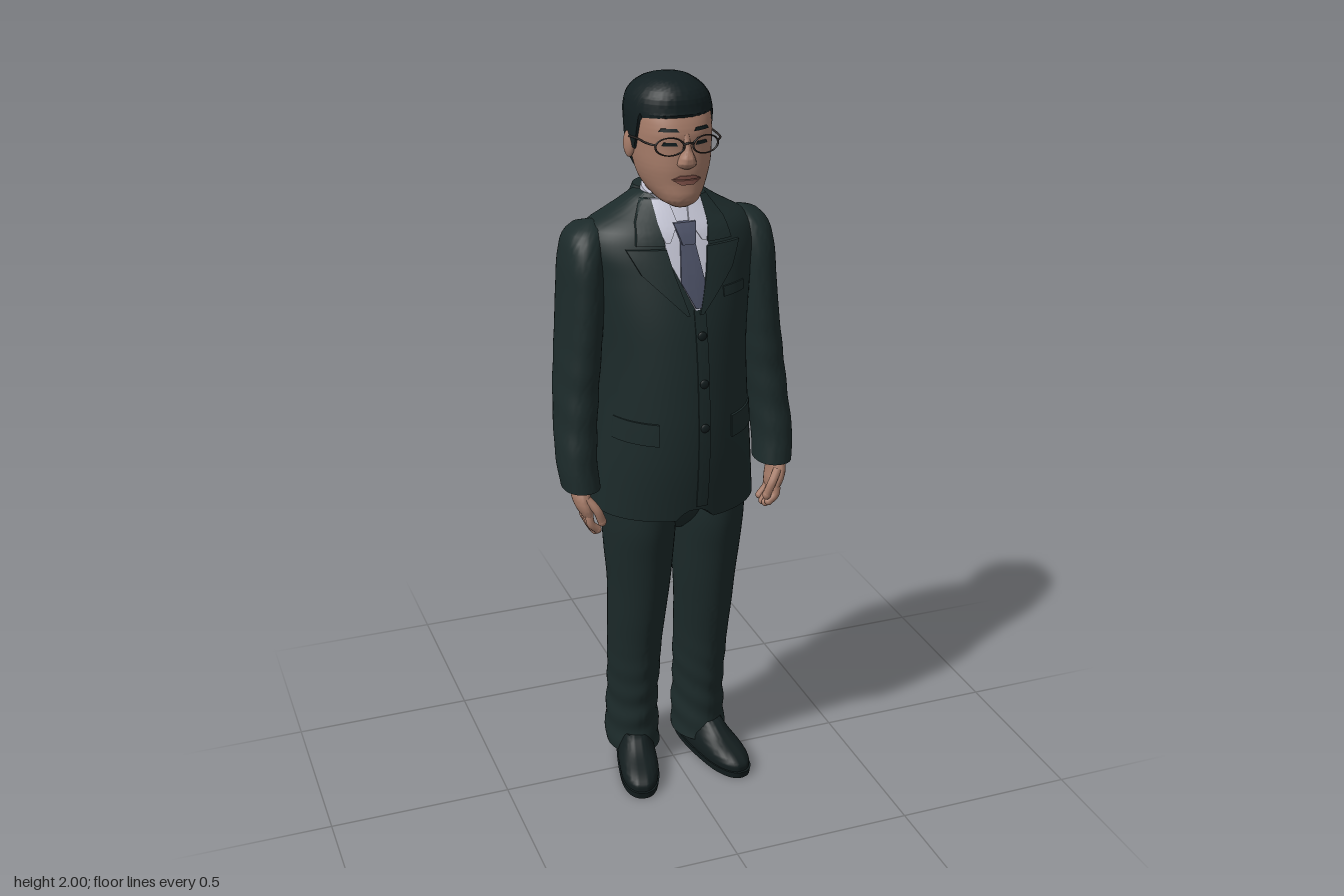
import * as THREE from 'three';
import { toCreasedNormals } from 'three/addons/utils/BufferGeometryUtils.js';

const mat = (name, color, side = THREE.FrontSide) => {
  const m = new THREE.MeshStandardMaterial({ color, side });
  m.name = name;
  return m;
};
const D = THREE.DoubleSide;
const suit = mat('suit cloth', 0x1c2a2a, D), hairMat = mat('hair', 0x131e20, D), skin = mat('skin', 0xa67c69);
const shirtMat = mat('shirt', 0xc2c3d2, D), tieMat = mat('tie', 0x4c5166, D), leather = mat('shoe leather', 0x131d1e);
const lipMat = mat('lips', 0x8c5a50, D), frameMat = mat('spectacle frame', 0x2a2523);

const smooth = THREE.MathUtils.smoothstep;
const geometry = (pos, idx) => {
  const g = new THREE.BufferGeometry();
  g.setAttribute('position', new THREE.Float32BufferAttribute(pos, 3));
  g.setIndex(idx);
  return toCreasedNormals(g, 0.8);
};

// Cross-sections: [y, centre x, half width, front z, back z, z of widest point]
const profile = (secs) => {
  const full = secs.map((s) => (s.length < 6 ? [...s, (s[3] + s[4]) / 2] : s));
  const spline = new THREE.CubicInterpolant(full.map((s) => s[0]), full.flatMap((s) => s.slice(1)), 5);
  return { at: (y) => [...spline.evaluate(y)], y0: full[0][0], y1: full.at(-1)[0] };
};

// Closed body through the cross-sections; low(s) lifts the bottom edge, fold(y, a) adds cloth folds
function loft(p, { n = 2, nb = n, rows = 40, seg = 48, low = () => p.y0, fold = () => 0 } = {}) {
  const pos = [], idx = [];
  for (let j = 0; j <= rows; j++) for (let i = 0; i < seg; i++) {
    const a = (i / seg) * Math.PI * 2, c = Math.cos(a), s = Math.sin(a);
    const y = THREE.MathUtils.lerp(low(s), p.y1, j / rows);
    const [cx, rx, zf, zb, zc] = p.at(y), e = 2 / (s > 0 ? n : nb), k = 1 + fold(y, a);
    const rz = s > 0 ? zf - zc : zc - zb;
    pos.push(cx + k * rx * Math.sign(c) * Math.abs(c) ** e, y, zc + k * rz * Math.sign(s) * Math.abs(s) ** e);
  }
  for (let j = 0; j < rows; j++) for (let i = 0; i < seg; i++) {
    const a = j * seg + i, b = j * seg + ((i + 1) % seg), c = a + seg, d = b + seg;
    idx.push(a, c, b, b, c, d);
  }
  const top = rows * seg, end = pos.length / 3;
  for (const y of [p.y0, p.y1]) { const [cx, , , , zc] = p.at(y); pos.push(cx, y, zc); }
  for (let i = 0; i < seg; i++) {
    const k = (i + 1) % seg;
    idx.push(end, i, k, end + 1, top + k, top + i);
  }
  return geometry(pos, idx);
}

// Thin plate laid over the front of a body; rows run downward as [y, x from, x to]
function patch(p, n, rows, off) {
  const line = new THREE.CubicInterpolant(rows.map((r, i) => i), rows.flat(), 3);
  const R = (rows.length - 1) * 8, C = 10, pos = [], idx = [], w = C + 3;
  for (let j = -1; j <= R + 1; j++) for (let i = -1; i <= C + 1; i++) {
    const v = THREE.MathUtils.clamp(j, 0, R), u = THREE.MathUtils.clamp(i, 0, C);
    const k = Math.floor(Math.min(v / 8, rows.length - 1.001)), f = v / 8 - k;
    const [y, x0, x1] = rows[k].map((q, m) => q + (rows[k + 1][m] - q) * f);
    const x = x0 + (x1 - x0) * u / C, [cx, rx, zf, , zc] = p.at(y);
    const z = zc + (zf - zc) * Math.max(0, 1 - Math.abs((x - cx) / rx) ** n) ** (1 / n);
    pos.push(x, y, z + (u === i && v === j ? off : 0));
  }
  for (let j = 0; j < R + 2; j++) for (let i = 0; i < w - 1; i++) {
    const a = j * w + i;
    idx.push(a, a + w, a + 1, a + 1, a + w, a + w + 1);
  }
  return geometry(pos, idx);
}

export function createModel() {
  const model = new THREE.Group();
  const add = (name, geo, material) => {
    const m = new THREE.Mesh(geo, material);
    m.name = name;
    model.add(m);
    return m;
  };
  const ball = (name, x, y, z, sx, sy, sz, material) => {
    const m = add(name, new THREE.SphereGeometry(1, 20, 14), material);
    m.position.set(x, y, z);
    m.scale.set(sx, sy, sz);
    return m;
  };
  const tube = (name, pts, r, material) => add(name,
    new THREE.TubeGeometry(new THREE.CatmullRomCurve3(pts.map((q) => new THREE.Vector3(...q))), 12, r, 10), material);
  const flip = (rows, s) => (s > 0 ? rows : rows.map(([y, a, b]) => [y, -b, -a]));
  const side = (secs, s) => profile(secs.map(([y, cx, ...r]) => [y, cx * s, ...r]));

  // Jacket body
  const torso = profile([
    [0.85, 0, 0.224, 0.172, -0.188, -0.01], [1.0, 0, 0.213, 0.19, -0.17, -0.01], [1.1, 0, 0.205, 0.193, -0.155, -0.01],
    [1.2, 0, 0.199, 0.188, -0.15, -0.01], [1.3, 0, 0.2, 0.178, -0.165, -0.02], [1.4, 0, 0.21, 0.16, -0.184, -0.03],
    [1.5, 0, 0.225, 0.13, -0.186, -0.04], [1.57, 0, 0.238, 0.102, -0.172, -0.045], [1.62, 0, 0.217, 0.078, -0.152, -0.05],
    [1.65, 0, 0.165, 0.055, -0.138, -0.05], [1.68, 0, 0.115, 0.03, -0.122, -0.045], [1.7, 0, 0.088, 0.015, -0.11, -0.04]]);
  add('jacket', loft(torso, { n: 2, nb: 2.5, rows: 60, seg: 80, low: (s) => 0.85 + 0.03 * smooth(s, 0.97, 1) }), suit);
  const onChest = (name, rows, off, material) => add(name, patch(torso, 2, rows, off), material);

  // Shirt and tie
  onChest('shirtFront', [[1.685, -0.07, 0.07], [1.55, -0.05, 0.057], [1.43, 0.004, 0.022]], 0.004, shirtMat);
  onChest('tieBlade', [[1.61, -0.015, 0.02], [1.5, -0.028, 0.036], [1.435, 0.004, 0.022]], 0.009, tieMat);
  onChest('tieKnot', [[1.64, -0.028, 0.032], [1.59, -0.014, 0.02]], 0.018, tieMat);
  const band = loft(profile([[-0.035, 0, 0.08, 0.075, -0.072], [0.025, 0, 0.072, 0.066, -0.066]]), { rows: 6 });
  const collar = add('shirtCollar', band, shirtMat);
  collar.position.set(0, 1.685, -0.038);
  collar.rotation.x = 0.3;
  const jacketBand = loft(profile([[-0.04, 0, 0.105, 0.03, -0.084], [0.015, 0, 0.084, 0, -0.075]]), { rows: 6 });
  const jc = add('jacketCollar', jacketBand, suit);
  jc.position.set(0, 1.685, -0.04);
  jc.rotation.x = 0.25;

  // Jacket front details
  onChest('frontOverlap', [[1.43, 0, 0.032], [0.89, 0, 0.032]], 0.004, suit);
  onChest('breastPocket', [[1.475, 0.09, 0.16], [1.45, 0.09, 0.16]], 0.005, suit);
  for (const y of [1.365, 1.24, 1.12]) ball('button', 0.016, y, torso.at(y)[2] + 0.005, 0.012, 0.012, 0.005, leather);

  for (const s of [1, -1]) {
    onChest('shirtCollarWing', flip([[1.69, 0.026, 0.072], [1.64, 0.016, 0.07], [1.595, 0.043, 0.055]], s), 0.011, shirtMat);
    onChest('collarLeaf', flip([[1.69, 0.066, 0.088], [1.64, 0.066, 0.118], [1.59, 0.057, 0.128]], s), 0.013, suit);
    onChest('lapel', flip([[1.58, 0.055, 0.152], [1.52, 0.043, 0.122], [1.42, 0.014, 0.022]], s), 0.011, suit);
    onChest('pocketFlap', flip([[1.135, 0.1, 0.19], [1.075, 0.1, 0.195]], s), 0.008, suit);

    // Sleeve with soft elbow folds
    add('sleeve', loft(side([
      [0.935, 0.274, 0.05, 0.102, -0.03], [1.0, 0.279, 0.052, 0.092, -0.05], [1.1, 0.272, 0.054, 0.076, -0.09],
      [1.2, 0.262, 0.056, 0.066, -0.12], [1.35, 0.246, 0.056, 0.062, -0.148], [1.45, 0.238, 0.056, 0.058, -0.156],
      [1.55, 0.232, 0.054, 0.045, -0.145], [1.6, 0.223, 0.048, 0.02, -0.125], [1.622, 0.212, 0.034, -0.005, -0.1],
      [1.632, 0.205, 0.008, -0.04, -0.065]], s), { n: 2.2, rows: 50,
      fold: (y, a) => 0.015 * Math.sin(y * 60 + 2 * Math.sin(a)) * smooth(1.4 - y, 0, 0.2) * smooth(y, 0.95, 1.05) }), suit);

    // Hand
    add('palm', loft(side([
      [0.858, 0.266, 0.014, 0.098, 0.012], [0.88, 0.272, 0.021, 0.103, 0.01], [0.91, 0.279, 0.024, 0.098, 0.008],
      [0.96, 0.278, 0.025, 0.07, 0.01]], s), { rows: 14, seg: 24 }), skin);
    for (let i = 0; i < 4; i++) {
      const z = 0.025 + i * 0.021, tip = [0.804, 0.796, 0.8, 0.812][i] + 0.012;
      tube('finger', [[s * 0.268, 0.875, z], [s * 0.265, 0.845, z + 0.003], [s * 0.246, tip, z]], 0.0112, skin);
      ball('fingertip', s * 0.246, tip, z, 0.0112, 0.0112, 0.0112, skin);
    }
    tube('thumb', [[s * 0.272, 0.915, 0.085], [s * 0.25, 0.885, 0.1], [s * 0.236, 0.85, 0.098]], 0.012, skin);
    ball('thumbTip', s * 0.236, 0.85, 0.098, 0.012, 0.014, 0.012, skin);

    // Trouser leg, breaking over the shoe
    add('trouserLeg', loft(side([
      [0.05, 0.102, 0.075, 0.035, -0.162], [0.1, 0.102, 0.075, 0.028, -0.166], [0.2, 0.101, 0.07, 0.032, -0.164],
      [0.3, 0.1, 0.072, 0.044, -0.155], [0.4, 0.1, 0.075, 0.058, -0.144], [0.5, 0.099, 0.08, 0.078, -0.128],
      [0.6, 0.097, 0.086, 0.096, -0.12], [0.7, 0.098, 0.094, 0.113, -0.126], [0.8, 0.099, 0.099, 0.13, -0.132],
      [0.9, 0.1, 0.1, 0.13, -0.135]], s), { n: 1.85, nb: 2.1, rows: 70,
      fold: (y, a) => 0.03 * Math.sin(y * 75 + 2.5 * Math.sin(a + s)) * smooth(0.45 - y, 0, 0.3) }), suit);

    // Shoe, toe turned outward
    const shoe = new THREE.Group();
    shoe.name = 'shoe';
    const sole = loft(profile([[0, 0, 0.054, 0.178, -0.168, 0.05], [0.02, 0, 0.057, 0.182, -0.17, 0.05]]), { n: 2.3, rows: 3 });
    const upper = loft(profile([[0.018, 0, 0.053, 0.175, -0.162, 0.05], [0.04, 0, 0.055, 0.172, -0.162, 0.05],
      [0.058, 0, 0.052, 0.145, -0.16, 0.03], [0.08, 0, 0.046, 0.085, -0.157, -0.02], [0.11, 0, 0.04, 0.035, -0.15, -0.06]]), { n: 2.3, rows: 16 });
    for (const [name, g] of [['sole', sole], ['shoeUpper', upper]]) {
      const m = new THREE.Mesh(g, leather);
      m.name = name;
      shoe.add(m);
    }
    shoe.position.set(s * 0.113, 0, 0);
    shoe.rotation.y = s * 0.22;
    model.add(shoe);
  }
  add('trouserSeat', loft(profile([[0.77, 0, 0.03, 0.05, -0.06], [0.81, 0, 0.09, 0.09, -0.11], [0.88, 0, 0.15, 0.12, -0.13]]), { rows: 10 }), suit);

  // Neck and head
  add('neck', loft(profile([[1.64, 0, 0.066, 0.02, -0.1], [1.72, 0, 0.062, 0.025, -0.095], [1.79, 0, 0.066, 0.03, -0.1]])), skin);
  const head = profile([
    [1.678, 0, 0.022, 0.075, 0.03, 0.05], [1.69, 0, 0.045, 0.094, 0, 0.03], [1.71, 0, 0.064, 0.102, -0.04, 0],
    [1.74, 0, 0.082, 0.101, -0.08, -0.02], [1.78, 0, 0.094, 0.103, -0.115, -0.025], [1.83, 0, 0.1, 0.1, -0.135, -0.03],
    [1.87, 0, 0.101, 0.1, -0.142, -0.03], [1.91, 0, 0.098, 0.085, -0.14, -0.03], [1.95, 0, 0.085, 0.06, -0.12, -0.03],
    [1.98, 0, 0.045, 0.02, -0.08, -0.03]]);
  add('head', loft(head, { n: 2.3, nb: 2.1, rows: 50 }), skin);
  const onFace = (name, rows, off, material) => add(name, patch(head, 2.3, rows, off), material);
  add('nose', loft(profile([[1.783, 0, 0.012, 0.108, 0.08, 0.09], [1.79, 0, 0.025, 0.118, 0.08, 0.09], [1.803, 0, 0.025, 0.126, 0.08, 0.09],
    [1.83, 0, 0.014, 0.116, 0.08, 0.09], [1.87, 0, 0.009, 0.101, 0.08, 0.09]]), { rows: 20, seg: 24 }), skin);
  onFace('upperLip', [[1.766, -0.02, 0.02], [1.757, -0.038, 0.038]], 0.004, lipMat);
  onFace('lowerLip', [[1.755, -0.036, 0.036], [1.743, -0.016, 0.016]], 0.005, lipMat);

  // Hair: low at the nape, sideburns before the ears, high over the forehead
  const hairline = (s) => 1.735 + 0.085 * smooth(s, -0.6, -0.15) + 0.095 * smooth(s, 0.22, 0.5);
  add('hair', loft(profile([
    [1.735, 0, 0.075, 0.04, -0.1, -0.035], [1.78, -0.002, 0.095, 0.06, -0.13, -0.035], [1.83, -0.003, 0.104, 0.09, -0.148, -0.035],
    [1.88, -0.003, 0.108, 0.1, -0.155, -0.035], [1.92, -0.003, 0.108, 0.09, -0.152, -0.035], [1.955, -0.004, 0.097, 0.083, -0.135, -0.035],
    [1.98, -0.005, 0.072, 0.062, -0.105, -0.035], [1.994, -0.006, 0.042, 0.03, -0.07, -0.03], [2.0, -0.006, 0.008, -0.01, -0.03, -0.02]]),
  { n: 2.2, rows: 40, seg: 96, low: hairline, fold: (y, a) => 0.005 * Math.sin(a * 32 + y * 60) }), hairMat);

  // Ears, eyes, brows and spectacles
  for (const s of [1, -1]) {
    const ear = ball('ear', s * 0.106, 1.825, -0.032, 0.011, 0.035, 0.02, skin);
    ear.rotation.y = s * -0.3;
    onFace('eye', flip([[1.85, 0.028, 0.056], [1.841, 0.024, 0.06]], s), 0.002, hairMat);
    onFace('eyebrow', flip([[1.884, 0.026, 0.06], [1.876, 0.02, 0.066]], s), 0.003, hairMat);
    const rim = add('spectacleRim', new THREE.TorusGeometry(0.036, 0.0028, 8, 32), frameMat);
    rim.scale.y = 0.62;
    rim.position.set(s * 0.047, 1.843, 0.106);
    rim.rotation.y = s * 0.2;
    tube('spectacleTemple', [[s * 0.08, 1.848, 0.098], [s * 0.094, 1.85, 0.085], [s * 0.104, 1.85, 0.02], [s * 0.11, 1.845, -0.035]], 0.0028, frameMat);
  }
  tube('spectacleBridge', [[-0.013, 1.848, 0.113], [0, 1.852, 0.118], [0.013, 1.848, 0.113]], 0.0028, frameMat);
  return model;
}
